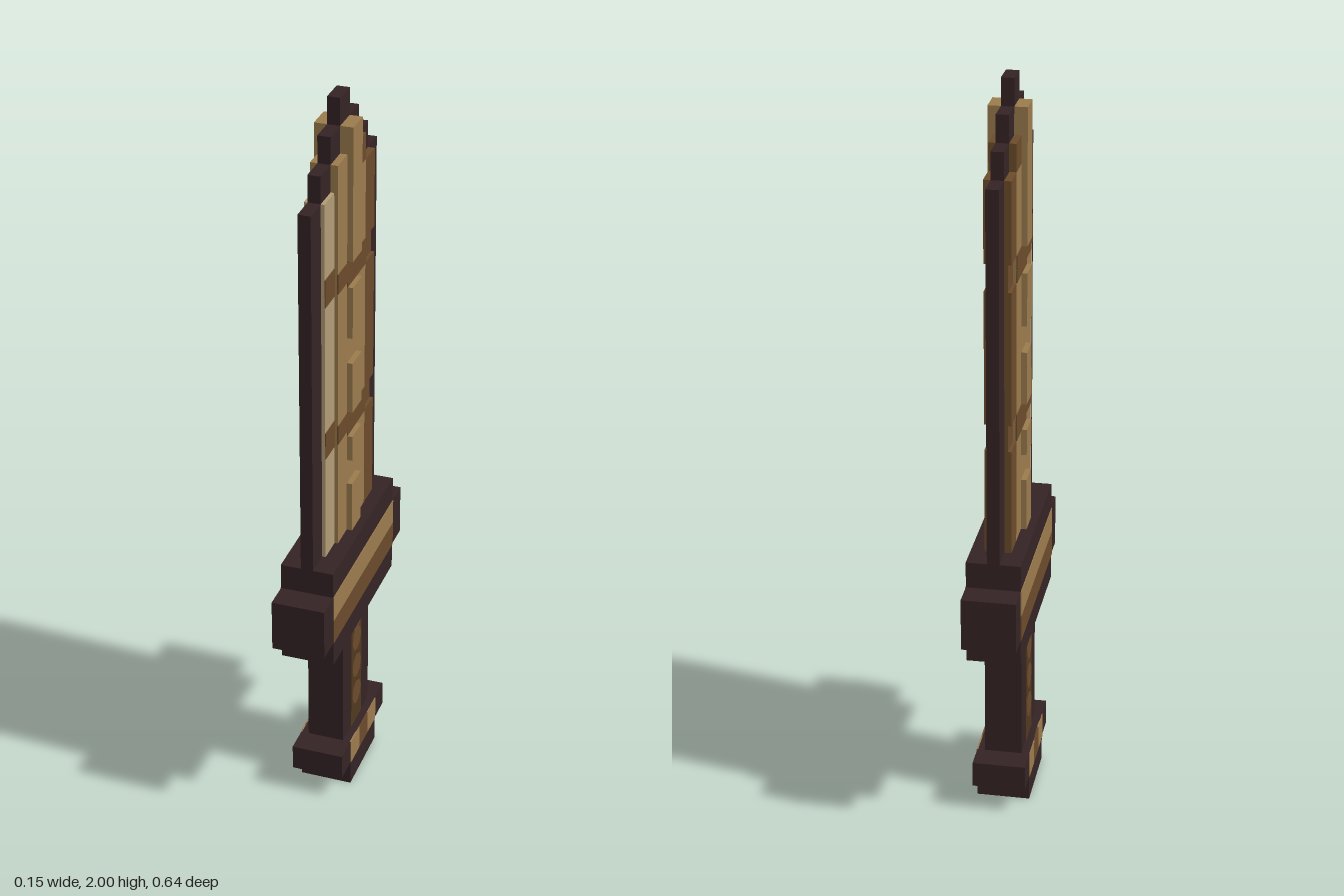
import * as THREE from 'three';

export function createModel() {
  const model = new THREE.Group();
  model.name = 'sword';
  const mat = (name, color) => {
    const m = new THREE.MeshStandardMaterial({ color });
    m.name = name;
    return m;
  };
  const dark = mat('dark wood', 0x352325);
  const tan = mat('tan wood', 0x9c7b4e);
  const light = mat('pale wood', 0xb29c77);
  const brown = mat('brown wood', 0x6b4b2b);
  const deep = mat('deep brown', 0x513820);

  // Box centred on x, given its half thickness and its y and z ranges
  const slab = (name, m, hx, y0, y1, z0, z1) => {
    const mesh = new THREE.Mesh(new THREE.BoxGeometry(hx * 2, y1 - y0, z1 - z0), m);
    mesh.position.set(0, (y0 + y1) / 2, (z0 + z1) / 2);
    mesh.name = name;
    model.add(mesh);
  };
  // Thin painted plate on both broad faces
  const plates = (name, m, x, y0, y1, z0, z1) => {
    for (const s of [-1, 1]) {
      const mesh = new THREE.Mesh(new THREE.BoxGeometry(0.004, y1 - y0, z1 - z0), m);
      mesh.position.set(s * x, (y0 + y1) / 2, (z0 + z1) / 2);
      mesh.name = name;
      model.add(mesh);
    }
  };

  // Grid steps across the width
  const u = 2 / 28, a = u * 0.5, b = u * 1.5, c = u * 2.5, d = u * 3.5, e = u * 4.5;

  // Dark blade core with a stepped tip
  [[d, 25], [c, 26], [b, 27], [a, 28]].forEach(([w, top], i) =>
    slab('bladeCore', dark, 0.0165, i ? (top - 1) * u : 11 * u, top * u, -w, w));

  // Blade panels
  slab('paleEdgePanel', light, 0.026, 11 * u, 25 * u, b, c);
  slab('middlePanel', tan, 0.035, 11 * u, 25 * u, -b, b);
  slab('middlePanelTip', tan, 0.035, 25 * u, 26 * u, -a, b);
  slab('middlePanelTip', brown, 0.035, 25 * u, 26 * u, -b, -a);
  slab('brownEdgeBase', brown, 0.026, 11 * u, 25 * u, -c, -b);
  for (const [y0, y1] of [[11, 15], [16, 21], [22, 25]])
    slab('brownEdgePanel', brown, 0.035, y0 * u, y1 * u, -c, -b);

  // Raised blocks along the centre ridge
  for (const [y0, y1] of [[11, 13], [14, 15], [16, 18], [19, 21], [22, 27]])
    slab('ridgeBlock', tan, 0.05, y0 * u, y1 * u, -a, a);

  // Brown bands crossing the blade
  for (const y of [15 * u, 21 * u]) {
    plates('band', brown, 0.026, y + 0.01, y + 0.085, b, c);
    plates('band', brown, 0.035, y + 0.015, y + 0.068, a, b);
    plates('band', brown, 0.035, y, y + u, -a, a);
    plates('band', brown, 0.035, y, y + u, -b, -a);
  }

  // Guard with end blocks and striped faces
  slab('guard', dark, u, 7 * u, 11 * u, -d, d);
  for (const s of [-1, 1])
    slab('guardEnd', dark, u, 8 * u, 10 * u, Math.min(s * d, s * e), Math.max(s * d, s * e));
  plates('guardStripe', tan, u, 9 * u, 10 * u, -d, d);
  plates('guardStripe', brown, u, 8 * u, 9 * u, -d, d);

  // Grip with an inlay of round spots
  slab('grip', dark, 0.05, 2 * u, 7 * u, -b, b);
  plates('gripInlay', deep, 0.05, 2 * u, 7 * u, -0.043, 0.043);
  for (const s of [-1, 1])
    for (const y of [0.235, 0.325, 0.415, 0.48]) {
      const spot = new THREE.Mesh(new THREE.CylinderGeometry(0.036, 0.036, 0.004, 8), brown);
      spot.rotation.z = Math.PI / 2;
      spot.position.set(s * 0.0515, y, 0);
      spot.name = 'gripSpot';
      model.add(spot);
    }

  // Pommel with painted collar
  slab('pommel', dark, u, 0, u, -b, b);
  slab('pommelCollar', dark, u, u, 2 * u, -c, c);
  plates('collarPaint', tan, u, u, 2 * u, -b, -a);
  plates('collarPaint', brown, u, u, 2 * u, -a, a);
  plates('collarPaint', tan, u, u, 2 * u, a, b);

  return model;
}
